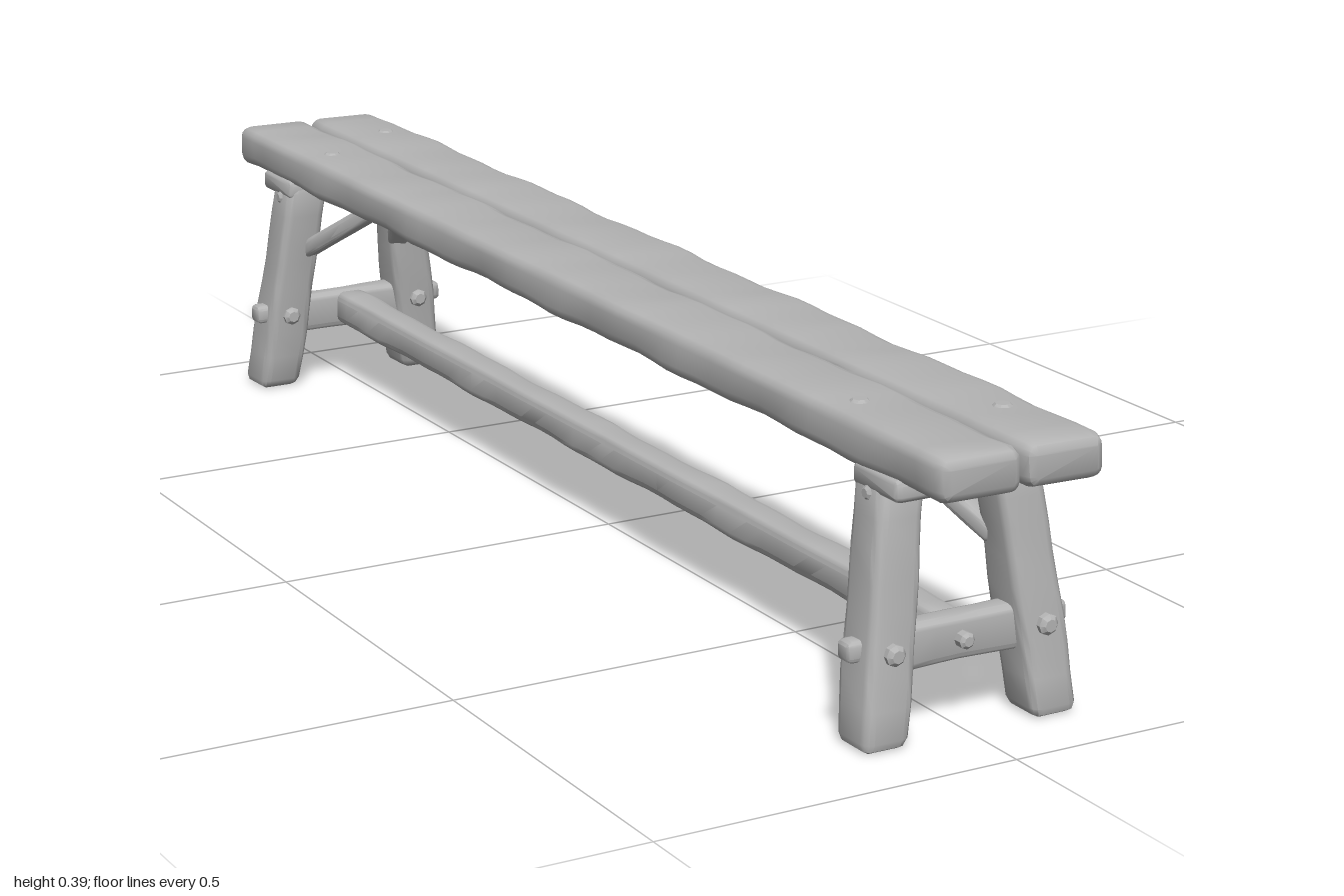
import * as THREE from 'three';
import { mergeVertices, toCreasedNormals } from 'three/addons/utils/BufferGeometryUtils.js';

const wood = new THREE.MeshStandardMaterial({ color: 0xb4b4b4 });
wood.name = 'plain wood';

const V = (x, y, z) => new THREE.Vector3(x, y, z);
const X = V(1, 0, 0), Y = V(0, 1, 0), Z = V(0, 0, 1);

// Point on a rounded rectangle: four corners of four points each
function roundedRing(w, h, r) {
  const pts = [];
  for (let c = 0; c < 4; c++) {
    const sx = c === 0 || c === 3 ? 1 : -1, sy = c < 2 ? 1 : -1;
    for (let k = 0; k < 4; k++) {
      const a = (c + k / 3) * Math.PI / 2;
      pts.push([sx * (w / 2 - r) + r * Math.cos(a), sy * (h / 2 - r) + r * Math.sin(a)]);
    }
  }
  return pts;
}

// Hand-hewn timber from a to b; u and v span its section, w and h are its sizes
function timber(name, a, b, u, v, w, h, r = 0.012, wobble = 0.002, seed = 0) {
  const d = b.clone().sub(a), len = d.length();
  if (u.clone().cross(v).dot(d) < 0) u = u.clone().negate();
  const n = Math.max(4, Math.round(len / 0.04));
  const stations = [[0, 0.85 * r], [0.3 * r, 0.3 * r]];
  for (let i = 0; i <= n; i++) stations.push([r + (len - 2 * r) * i / n, 0]);
  stations.push([len - 0.3 * r, 0.3 * r], [len, 0.85 * r]);

  const pos = [], idx = [], N = 16;
  for (const [s, inset] of stations) {
    const c = a.clone().addScaledVector(d, s / len);
    roundedRing(w - 2 * inset, h - 2 * inset, r - inset).forEach(([p, q]) => {
      // slow waves, different on each side
      const side = Math.sign(p) * 1.7 + Math.sign(q) * 0.6 + seed;
      const k = Math.sin(s * 17 + side * 3) * 0.6 + Math.sin(s * 41 + side * 5) * 0.4;
      const grow = wobble * (k - 0.3);
      const o = c.clone().addScaledVector(u, p + Math.sign(p) * grow)
        .addScaledVector(v, q + Math.sign(q) * grow * 0.5);
      pos.push(o.x, o.y, o.z);
    });
  }
  const rings = stations.length;
  for (let i = 0; i < rings - 1; i++) {
    for (let j = 0; j < N; j++) {
      const p = i * N + j, q = i * N + (j + 1) % N;
      idx.push(p, q, p + N, q, q + N, p + N);
    }
  }
  const last = (rings - 1) * N;
  for (let j = 1; j < N - 1; j++) idx.push(0, j + 1, j, last, last + j, last + j + 1);
  const g = new THREE.BufferGeometry();
  g.setAttribute('position', new THREE.Float32BufferAttribute(pos, 3));
  g.setIndex(idx);
  const mesh = new THREE.Mesh(toCreasedNormals(mergeVertices(g), 0.7), wood);
  mesh.name = name;
  return mesh;
}

// Faceted wooden peg centred at p, pointing along dir
function peg(name, p, dir, r, len) {
  const profile = [[0, -len / 2], [r * 0.6, -len / 2], [r, -len / 2 + r * 0.4],
    [r, len / 2 - r * 0.4], [r * 0.6, len / 2], [0, len / 2]].map(q => new THREE.Vector2(...q));
  const mesh = new THREE.Mesh(toCreasedNormals(new THREE.LatheGeometry(profile, 8), 0.7), wood);
  mesh.quaternion.setFromUnitVectors(Y, dir);
  mesh.position.copy(p);
  mesh.name = name;
  return mesh;
}

export function createModel() {
  const bench = new THREE.Group();
  bench.name = 'bench';

  // Two seat planks with a narrow gap
  for (const s of [-1, 1]) {
    bench.add(timber('seatPlank', V(s * 0.06, 0.365, -1), V(s * 0.06, 0.365, 1),
      X, Y, 0.117, 0.06, 0.016, 0.003, s));
  }

  // Long stretcher between the trestles
  bench.add(timber('longStretcher', V(0, 0.119, -0.86), V(0, 0.119, 0.86), X, Y, 0.05, 0.05, 0.012, 0.002));

  // A trestle at each end
  for (const e of [-1, 1]) {
    const trestle = new THREE.Group();
    trestle.name = e > 0 ? 'frontTrestle' : 'backTrestle';
    bench.add(trestle);

    trestle.add(timber('topBearer', V(-0.118, 0.328, e * 0.857), V(0.118, 0.328, e * 0.857),
      Z, Y, 0.1, 0.03, 0.008, 0.001, e));
    trestle.add(timber('crossStretcher', V(-0.125, 0.116, e * 0.86), V(0.125, 0.116, e * 0.86),
      Z, Y, 0.04, 0.06, 0.01, 0.002, e));
    trestle.add(timber('stretcherTenon', V(-0.16, 0.123, e * 0.86), V(0.16, 0.123, e * 0.86),
      Z, Y, 0.03, 0.028, 0.007, 0.001, e));
    trestle.add(peg('stretcherPeg', V(0, 0.117, e * 0.875), Z, 0.011, 0.04));

    for (const s of [-1, 1]) {
      // Splayed leg with level foot
      trestle.add(timber('leg', V(s * 0.125, 0.002, e * 0.876), V(s * 0.082, 0.335, e * 0.838),
        X, Z, 0.068, 0.07, 0.013, 0.002, s + 2 * e));
      // Diagonal brace from leg to underside of seat
      const a = V(s * 0.08, 0.222, e * 0.835), b = V(s * 0.008, 0.335, e * 0.66);
      const d = b.clone().sub(a).normalize();
      const u = d.clone().cross(Y).normalize();
      trestle.add(timber('brace', a, b, u, d.clone().cross(u), 0.032, 0.026, 0.007, 0.001, s));
      // Pegs through the leg, at its top and through the seat
      trestle.add(peg('legPeg', V(s * 0.111, 0.122, e * 0.863), Z, 0.014, 0.092));
      trestle.add(peg('legTopPeg', V(s * 0.108, 0.311, e * 0.843), X, 0.01, 0.028));
      trestle.add(peg('seatPeg', V(s * 0.07, 0.388, e * (s > 0 ? 0.85 : 0.75)), Y, 0.016, 0.018));
    }
  }
  return bench;
}
